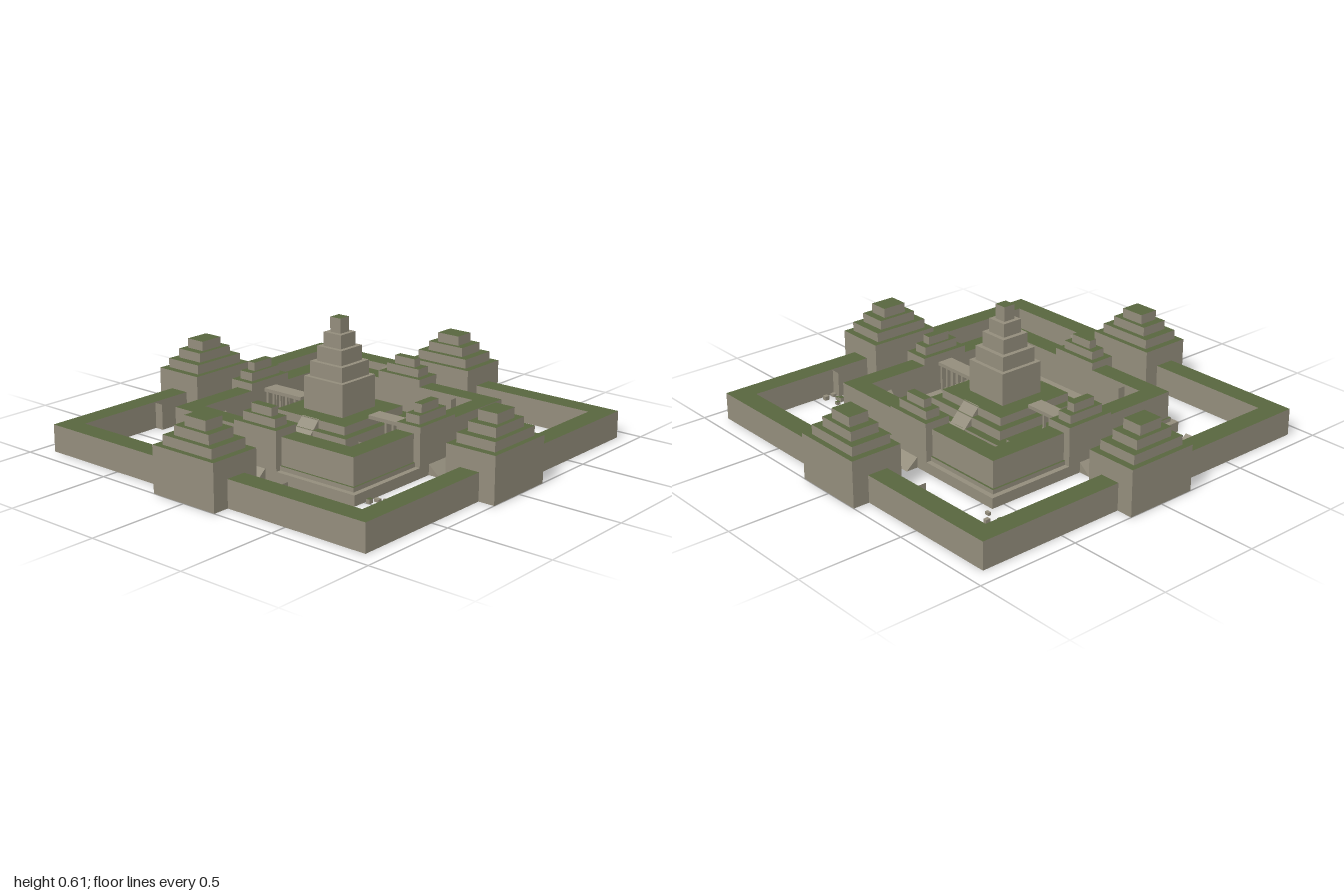
import * as THREE from 'three';

const stone = new THREE.MeshStandardMaterial({ color: 0x938d7c, side: THREE.DoubleSide });
stone.name = 'weathered stone';
const moss = new THREE.MeshStandardMaterial({ color: 0x58663e, side: THREE.DoubleSide });
moss.name = 'moss';

// Block from y0 to y1 with its own top material; the underside is left open unless closed is set
function block(name, w, d, y0, y1, x = 0, z = 0, top = moss, closed = false) {
  const geo = new THREE.BoxGeometry(w, y1 - y0, d);
  if (!closed) {
    const idx = Array.from(geo.index.array);
    idx.splice(18, 6);
    geo.setIndex(idx);
    geo.clearGroups();
    geo.addGroup(0, 12, 0);
    geo.addGroup(12, 6, 1);
    geo.addGroup(18, 12, 0);
  } else {
    geo.clearGroups();
    geo.addGroup(0, 12, 0);
    geo.addGroup(12, 6, 1);
    geo.addGroup(18, 18, 0);
  }
  const mesh = new THREE.Mesh(geo, [stone, top]);
  mesh.position.set(x, (y0 + y1) / 2, z);
  mesh.name = name;
  return mesh;
}

// Square ring of four walls between two half-widths
function ring(name, outer, inner, y0, y1) {
  const g = new THREE.Group();
  g.name = name;
  const t = outer - inner, m = (outer + inner) / 2;
  for (const s of [-1, 1]) {
    g.add(block(name + 'Side', outer * 2, t, y0, y1, 0, s * m));
    g.add(block(name + 'Side', t, inner * 2, y0, y1, s * m, 0));
  }
  return g;
}

// Stepped tower; tiers are [width, depth, top height]
function stepped(name, tiers, y0, top = moss) {
  const g = new THREE.Group();
  g.name = name;
  let y = y0;
  tiers.forEach(([w, d, h], i) => {
    g.add(block(name + 'Tier', w, d, y, h, 0, 0, i === tiers.length - 1 ? moss : top));
    y = h;
  });
  return g;
}

// Sloping stair: rises along local +x from xLow to xHigh, with the given width in z
function ramp(name, xLow, xHigh, y0, y1, width) {
  const s = new THREE.Shape();
  s.moveTo(xLow, y0);
  s.lineTo(xHigh, y0);
  s.lineTo(xHigh, y1);
  s.closePath();
  const geo = new THREE.ExtrudeGeometry(s, { depth: width, bevelEnabled: false });
  geo.translate(0, 0, -width / 2);
  const mesh = new THREE.Mesh(geo, stone);
  mesh.name = name;
  return mesh;
}

export function createModel() {
  const model = new THREE.Group();
  model.name = 'templeCompound';
  const floor = 0.05, terraceTop = 0.18;

  // Enclosing wall, platform and gallery
  model.add(ring('outerWall', 0.92, 0.82, 0, 0.13));
  model.add(block('platform', 1.13, 1.13, 0, floor, 0, 0, stone, true));
  model.add(ring('galleryFooting', 0.54, 0.44, floor, 0.07));
  model.add(ring('gallery', 0.53, 0.435, floor, 0.2));

  // Central terrace and tower
  model.add(stepped('terrace', [[0.566, 0.566, 0.095], [0.486, 0.486, 0.14], [0.41, 0.41, terraceTop]], floor));
  model.add(stepped('centralTower', [
    [0.23, 0.23, 0.335], [0.19, 0.19, 0.405], [0.145, 0.145, 0.475], [0.102, 0.102, 0.54], [0.06, 0.06, 0.61],
  ], terraceTop, stone));

  // Everything that repeats on the four sides
  for (let i = 0; i < 4; i++) {
    const side = new THREE.Group();
    side.name = 'side' + (i + 1);
    side.rotation.y = i * Math.PI / 2;

    const gate = stepped('outerGate', [
      [0.36, 0.255, 0.22], [0.29, 0.2, 0.265], [0.205, 0.145, 0.31], [0.125, 0.1, 0.357],
    ], 0);
    gate.position.z = 0.8725;
    side.add(gate);

    const pavilion = stepped('galleryPavilion', [
      [0.25, 0.13, 0.235], [0.19, 0.075, 0.275], [0.12, 0.042, 0.315],
    ], floor);
    pavilion.position.z = 0.5;
    side.add(pavilion);

    // Entrance stair up to the platform
    const entry = ramp('entranceStair', -0.625, -0.565, 0, floor, 0.12);
    entry.rotation.y = Math.PI / 2;
    side.add(entry);

    // Stairs lying along the outer wall and the gallery
    const wallStair = ramp('wallStair', 0.23, 0.385, 0, 0.125, 0.045);
    wallStair.position.z = 0.7975;
    side.add(wallStair);
    const galleryStair = ramp('galleryStair', 0.2, 0.34, floor, 0.19, 0.038);
    galleryStair.rotation.y = Math.PI;
    galleryStair.position.z = 0.416;
    side.add(galleryStair);

    if (i % 2 === 0) {
      // Stair up the terrace
      const climb = ramp('terraceStair', -0.325, -0.2, floor, terraceTop + 0.002, 0.1);
      climb.rotation.y = Math.PI / 2;
      side.add(climb);
    } else {
      // Raised walkway on pillars
      side.add(block('walkway', 0.08, 0.232, 0.178, 0.195, 0, 0.32, stone, true));
      for (const x of [-0.03, 0.03]) for (const z of [0.3, 0.34, 0.38, 0.42]) {
        side.add(block('walkwayPillar', 0.012, 0.012, floor, 0.178, x, z, stone));
      }
    }
    model.add(side);
  }

  // Fallen blocks: x, z, mossy
  const rubble = new THREE.Group();
  rubble.name = 'rubble';
  const fallen = [
    [-0.74, -0.615, 1], [-0.7, -0.625, 0], [-0.67, -0.61, 1], [-0.64, -0.66, 0], [-0.59, -0.61, 0], [-0.7, -0.53, 1],
    [0.71, -0.44, 1], [0.79, -0.45, 0], [0.75, -0.41, 1], [0.75, -0.36, 1], [0.8, -0.4, 0], [0.73, -0.405, 1],
    [0.63, 0.44, 0], [0.7, 0.42, 1], [0.6, 0.455, 0], [0.585, 0.49, 1], [0.68, 0.465, 1], [0.72, 0.465, 1], [0.73, 0.53, 0],
    [-0.41, 0.33, 0], [-0.35, 0.36, 0], [-0.31, 0.32, 1], [-0.285, 0.345, 1],
  ];
  fallen.forEach(([x, z, mossy], i) => {
    const y = Math.abs(x) < 0.5 && Math.abs(z) < 0.5 ? floor : 0;
    const w = 0.018 + (i % 3) * 0.004, d = 0.014 + (i % 4) * 0.003;
    rubble.add(block('fallenBlock', w, d, y, y + 0.014 + (i % 2) * 0.006, x, z, mossy ? moss : stone, true));
  });
  model.add(rubble);
  return model;
}
